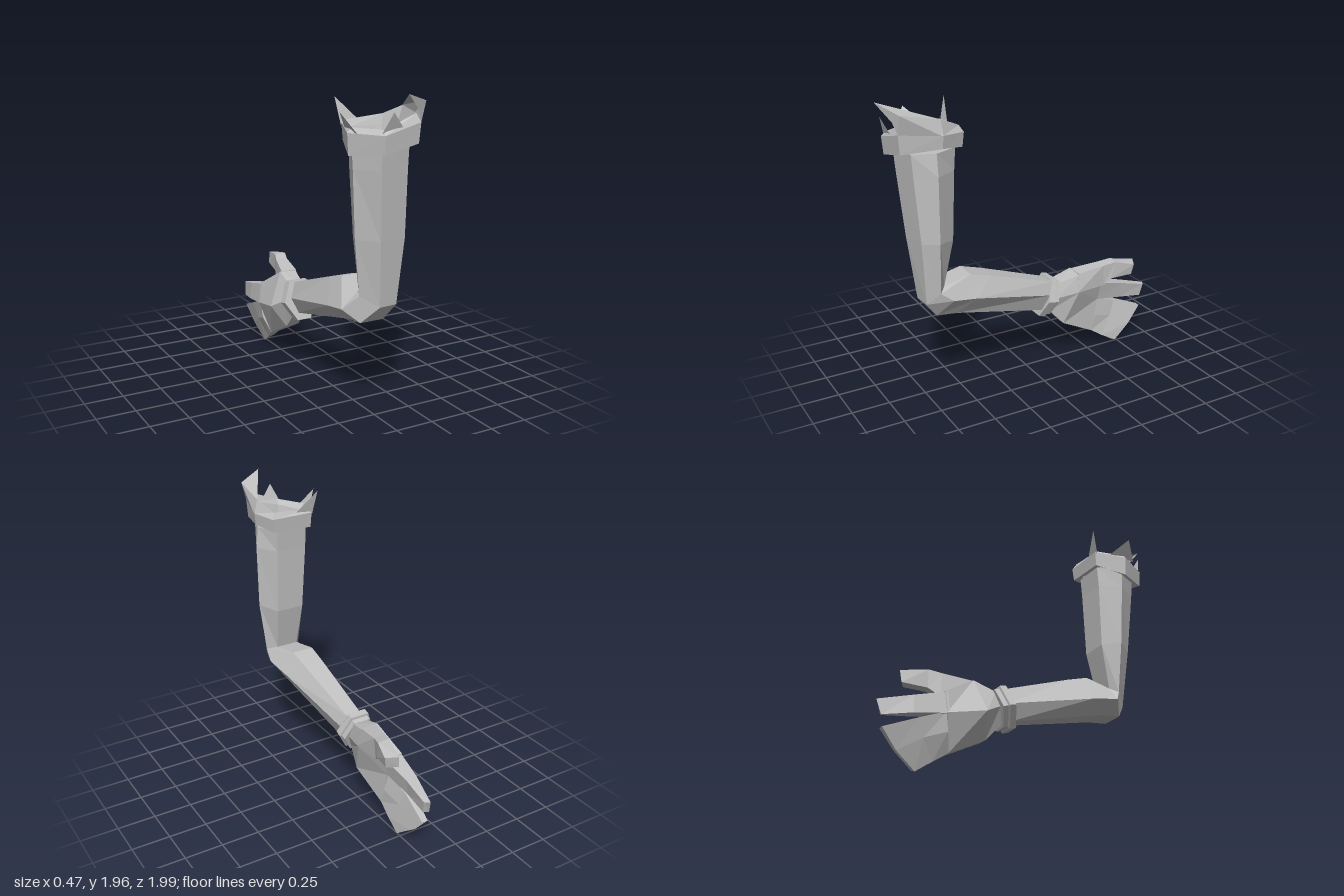
import * as THREE from 'three';

const skin = new THREE.MeshStandardMaterial({ color: 0xc0c0c0, flatShading: true, side: THREE.DoubleSide });
skin.name = 'light grey';

function meshFrom(name, tris) {
  const geo = new THREE.BufferGeometry();
  geo.setAttribute('position', new THREE.Float32BufferAttribute(tris.flat(), 3));
  geo.computeVertexNormals();
  const mesh = new THREE.Mesh(geo, skin);
  mesh.name = name;
  return mesh;
}

// Skin a list of equal-length rings; ring order is bottom/front left, then right, then back over the top
function loft(name, rings, capStart = true, capEnd = true) {
  const tris = [];
  const n = rings[0].length;
  for (let r = 0; r + 1 < rings.length; r++) {
    for (let i = 0; i < n; i++) {
      const j = (i + 1) % n;
      const a = rings[r][i], b = rings[r][j], c = rings[r + 1][j], d = rings[r + 1][i];
      tris.push(a, d, c, a, c, b);
    }
  }
  const first = rings[0], last = rings[rings.length - 1];
  for (let i = 1; i + 1 < n; i++) {
    if (capStart) tris.push(first[0], first[i], first[i + 1]);
    if (capEnd) tris.push(last[0], last[i + 1], last[i]);
  }
  return meshFrom(name, tris);
}

export function createModel() {
  const group = new THREE.Group();
  group.name = 'bentArm';

  // Six-sided arm, bending at the elbow from vertical to level
  group.add(loft('arm', [
    [[-.05, 1.66, .87], [.15, 1.66, .84], [.2, 1.66, .70], [.13, 1.66, .55], [-.08, 1.66, .55], [-.155, 1.66, .71]],
    [[-.045, 1.52, .86], [.15, 1.52, .83], [.215, 1.52, .70], [.13, 1.52, .56], [-.08, 1.52, .56], [-.145, 1.52, .71]],
    [[-.02, 1.1, .825], [.16, 1.1, .80], [.21, 1.1, .70], [.13, 1.08, .58], [-.06, 1.08, .58], [-.12, 1.1, .70]],
    [[.01, .69, .78], [.13, .69, .77], [.17, .76, .69], [.11, .78, .64], [-.04, .78, .64], [-.08, .75, .69]],
    [[-.07, .58, .69], [.09, .58, .69], [.185, .70, .61], [.09, .81, .45], [-.06, .81, .45], [-.16, .66, .62]],
    [[-.07, .565, .55], [.09, .565, .55], [.165, .67, .44], [.08, .765, .3], [-.06, .765, .3], [-.15, .63, .44]],
    [[-.06, .40, -.12], [.03, .40, -.12], [.075, .52, -.14], [.04, .60, -.18], [-.06, .60, -.18], [-.1, .50, -.15]],
  ]));

  // Hollow torn cuff: underside, outer band, rim and inner wall
  const rim = [[-.07, .93], [.17, .92], [.235, .67], [.18, .515], [-.11, .52], [-.19, .72]];
  const cuffRing = (scale, heights) => rim.map(([x, z], i) =>
    [.02 + (x - .02) * scale, heights[i], .71 + (z - .71) * scale]);
  const low = [1.62, 1.67, 1.69, 1.67, 1.66, 1.60];
  group.add(loft('cuff', [
    cuffRing(.72, low.map((y) => y + .02)),
    cuffRing(.96, low),
    cuffRing(1, [1.73, 1.79, 1.77, 1.76, 1.76, 1.73]),
    cuffRing(.88, [1.76, 1.84, 1.86, 1.80, 1.78, 1.76]),
    cuffRing(.74, [1.73, 1.78, 1.78, 1.74, 1.74, 1.72]),
    cuffRing(.6, low),
  ], false, true));

  // Torn points of cloth standing on the rim
  group.add(meshFrom('cuffTatters', [
    [-.17, 1.73, .80], [-.15, 1.75, .62], [-.24, 1.85, .72],
    [-.12, 1.75, .53], [-.14, 1.91, .49], [.0, 1.77, .535],
    [-.08, 1.74, .91], [.05, 1.77, .92], [-.03, 1.86, .95],
    [.03, 1.96, 1.0], [.14, 1.86, .94], [.20, 1.91, .92],
    [.14, 1.86, .94], [.17, 1.79, .92], [.20, 1.91, .92],
    [.17, 1.79, .92], [.235, 1.77, .68], [.20, 1.91, .92],
    [.235, 1.77, .68], [.21, 1.86, .67], [.20, 1.91, .92],
    [.03, 1.96, 1.0], [.20, 1.91, .92], [.21, 1.86, .67],
  ]));

  // Tilted wristband with a raised ridge
  const hex = [[-.045, -1], [.05, -1], [.12, -.05], [.06, 1], [-.065, 1], [-.12, -.05]];
  const bandRing = (scale, along) => hex.map(([x, v]) => [
    -.03 + x * scale,
    .475 + v * scale * .125 - along * .27,
    -.17 - v * scale * .04 - along * .96,
  ]);
  group.add(loft('wristband', [
    [.8, -.04], [1.02, -.04], [1.04, .005], [.92, .01], [.92, .045], [.75, .045],
  ].map(([s, t]) => bandRing(s, t))));

  // Palm widening away from the wrist
  group.add(loft('palm', [
    [[-.06, .37, -.18], [.01, .37, -.18], [.05, .47, -.21], [.03, .57, -.23], [-.07, .57, -.23], [-.1, .47, -.21]],
    [[-.06, .25, -.29], [.03, .26, -.28], [.08, .49, -.37], [.06, .61, -.38], [-.06, .62, -.38], [-.16, .40, -.33]],
    [[-.06, .13, -.53], [.0, .13, -.53], [-.01, .36, -.58], [.02, .49, -.59], [-.11, .49, -.59], [-.13, .35, -.58]],
  ]));

  // Thumb, angled out and upward from the palm
  group.add(loft('thumb', [
    [[-.04, .49, -.36], [.08, .49, -.36], [.06, .62, -.38], [-.05, .62, -.38]],
    [[.0, .50, -.57], [.075, .50, -.57], [.085, .65, -.56], [.0, .65, -.56]],
    [[.03, .55, -.64], [.10, .55, -.62], [.11, .67, -.64], [.03, .67, -.64]],
    [[.06, .565, -.80], [.13, .565, -.76], [.145, .64, -.77], [.07, .645, -.81]],
  ]));

  // Upper finger
  group.add(loft('upperFinger', [
    [[-.13, .35, -.56], [-.01, .36, -.56], [.015, .49, -.57], [-.11, .49, -.57]],
    [[-.105, .32, -.78], [-.03, .32, -.78], [-.01, .435, -.78], [-.09, .435, -.78]],
    [[-.06, .29, -.96], [-.02, .30, -.95], [-.01, .385, -.97], [-.045, .385, -.99]],
  ]));

  // Joined lower fingers, a curved mitten-like slab
  group.add(loft('lowerFingers', [
    [[-.06, .13, -.53], [.0, .13, -.53], [.0, .24, -.56], [-.02, .36, -.58], [-.12, .36, -.58], [-.11, .24, -.56]],
    [[-.04, .07, -.62], [.005, .07, -.62], [-.02, .20, -.70], [-.04, .30, -.74], [-.1, .30, -.74], [-.08, .19, -.70]],
    [[-.02, .0, -.72], [.01, .01, -.73], [.0, .11, -.85], [-.02, .22, -.95], [-.06, .22, -.95], [-.04, .10, -.85]],
  ]));

  return group;
}
